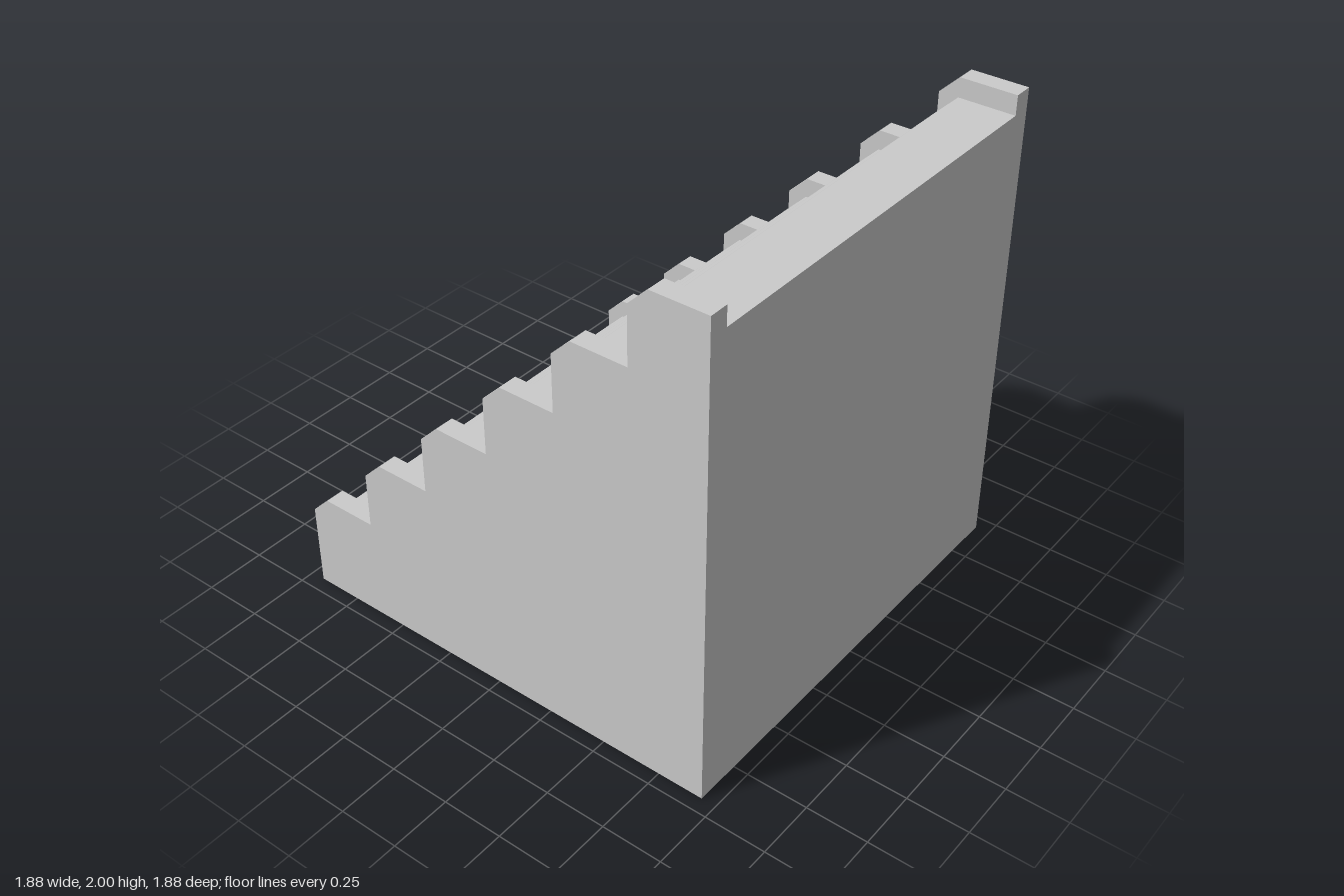
import * as THREE from 'three';

const STEPS = 6;
const HALF = 0.94;              // half of the width and depth
const STEP = (2 * HALF) / STEPS; // rise and run of one step
const CHAMFER = 0.08;
const CURB = 0.08;              // width of a side curb and its height above the treads

// Stepped side profile with chamfered nosings; u runs towards the back (-z)
function stairProfile(top) {
  const shape = new THREE.Shape();
  shape.moveTo(-HALF, 0);
  shape.lineTo(HALF, 0);
  for (let i = 0; i < STEPS; i++) {
    const u = HALF - i * STEP;
    const y = top - (STEPS - 1 - i) * STEP;
    shape.lineTo(u, y - CHAMFER);
    shape.lineTo(u - CHAMFER, y);
    shape.lineTo(u - STEP, y);
  }
  shape.closePath();
  return shape;
}

// Extrudes a profile across x from x0 to x1
function slab(name, top, x0, x1, material) {
  const geometry = new THREE.ExtrudeGeometry(stairProfile(top), { depth: x1 - x0, bevelEnabled: false });
  geometry.rotateY(Math.PI / 2);
  geometry.translate(x0, 0, 0);
  const mesh = new THREE.Mesh(geometry, material);
  mesh.name = name;
  return mesh;
}

export function createModel() {
  const group = new THREE.Group();
  group.name = 'staircase';
  const material = new THREE.MeshStandardMaterial({ color: 0xcccccc, flatShading: true });
  const inner = HALF - CURB;

  // Treads and risers between two raised curbs
  group.add(slab('steps', 2 - CURB, -inner, inner, material));
  group.add(slab('leftCurb', 2, inner, HALF, material));
  group.add(slab('rightCurb', 2, -HALF, -inner, material));
  return group;
}
